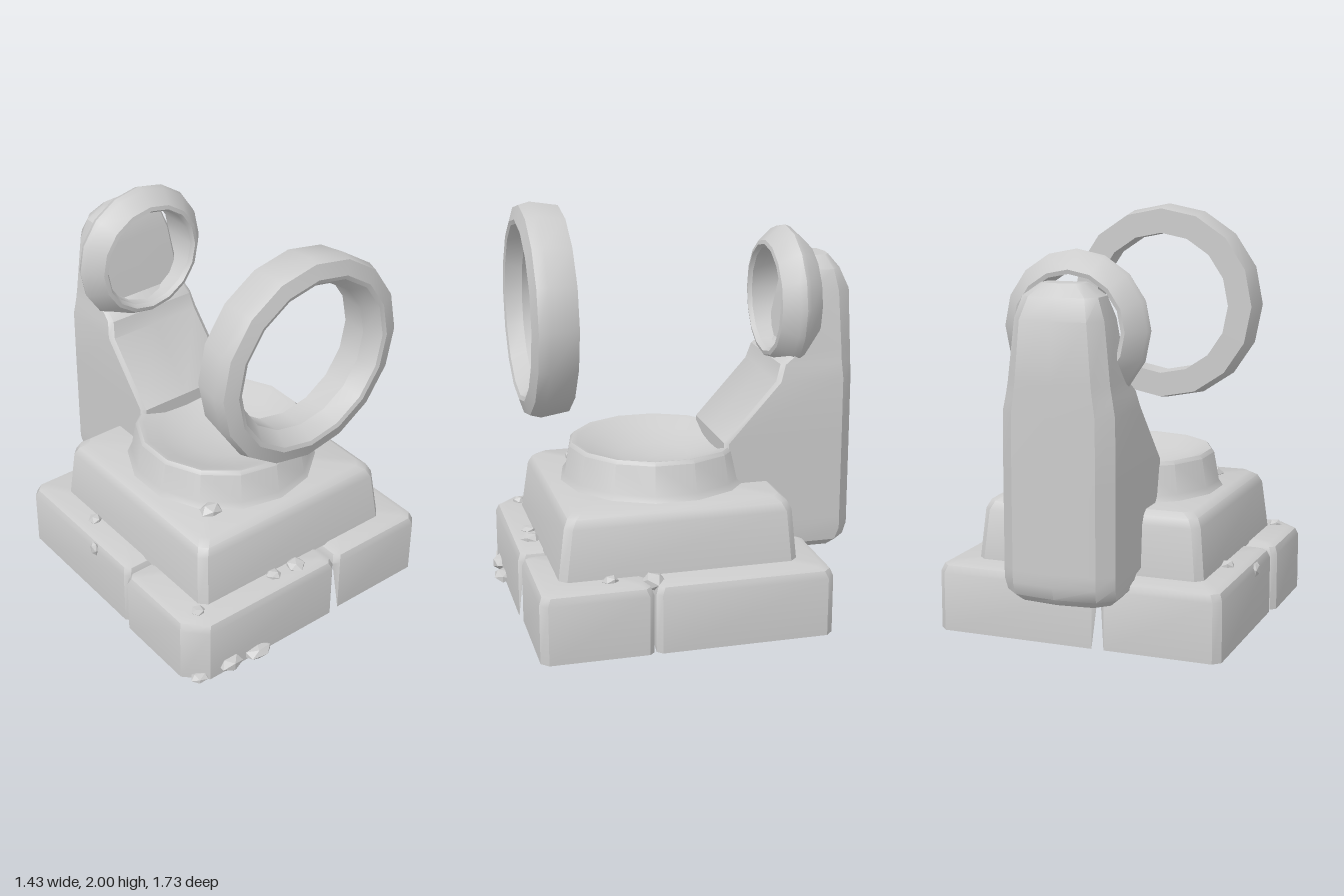
import * as THREE from 'three';
import { toCreasedNormals } from 'three/addons/utils/BufferGeometryUtils.js';

const stone = new THREE.MeshStandardMaterial({ color: 0xcccccc });
const openStone = new THREE.MeshStandardMaterial({ color: 0xcccccc, side: THREE.DoubleSide });

function part(name, geometry, material = stone, crease = 0.6) {
  const mesh = new THREE.Mesh(toCreasedNormals(geometry, crease), material);
  mesh.name = name;
  return mesh;
}

// Skin stacked rings of [x, y, z] points, listed from bottom to top
function loft(rings, bottomCap = true) {
  const n = rings[0].length;
  const points = rings.flat();
  const index = [];
  for (let r = 0; r < rings.length - 1; r++) {
    for (let i = 0; i < n; i++) {
      const a = r * n + i, b = r * n + (i + 1) % n;
      index.push(a, b, b + n, a, b + n, a + n);
    }
  }
  const cap = (start, flip) => {
    const c = points.length;
    const ring = points.slice(start, start + n);
    points.push([0, 1, 2].map((k) => ring.reduce((s, p) => s + p[k], 0) / n));
    for (let i = 0; i < n; i++) {
      const a = start + i, b = start + (i + 1) % n;
      index.push(...(flip ? [b, a, c] : [a, b, c]));
    }
  };
  cap((rings.length - 1) * n, false);
  if (bottomCap) cap(0, true);
  const g = new THREE.BufferGeometry();
  g.setAttribute('position', new THREE.Float32BufferAttribute(points.flat(), 3));
  g.setIndex(index);
  return g;
}

// Rectangle with clipped corners; c = clips at (+x+z, +x-z, -x-z, -x+z)
function rectRing(x0, x1, z0, z1, y, c, inset = 0) {
  x0 += inset; x1 -= inset; z0 += inset; z1 -= inset;
  return [
    [x1 - c[0], y, z1], [x1, y, z1 - c[0]], [x1, y, z0 + c[1]], [x1 - c[1], y, z0],
    [x0 + c[2], y, z0], [x0, y, z0 + c[2]], [x0, y, z1 - c[3]], [x0 + c[3], y, z1],
  ];
}

// Base block, hollow beneath; walls along the inner seams stop short of the ground
function baseBlock(name, x0, x1, z0, z1, c) {
  const foot = rectRing(x0, x1, z0, z1, 0, c);
  for (const p of foot) {
    if (Math.abs(p[0]) < 0.59 && p[2] < 0.79 && p[2] > -0.59) p[1] = 0.27;
  }
  return part(name, loft([
    foot,
    rectRing(x0, x1, z0, z1, 0.285, c),
    rectRing(x0, x1, z0, z1, 0.32, c, 0.014),
    rectRing(x0, x1, z0, z1, 0.333, c, 0.045),
  ], false), openStone);
}

// Ring turned around the z axis from [radius, z] points
function hoop(name, profile, sides, y) {
  const pts = [...profile, profile[0]].map(([r, z]) => new THREE.Vector2(r, z));
  const g = new THREE.LatheGeometry(pts, sides).rotateX(Math.PI / 2);
  const mesh = part(name, g);
  mesh.position.y = y;
  return mesh;
}

export function createModel() {
  const model = new THREE.Group();
  model.name = 'stonePedestal';

  // Four blocks of the base
  const s = 0.025;
  model.add(
    baseBlock('baseFrontRight', -0.72, 0.155, 0.265, 0.81, [s, s, s, 0.1]),
    baseBlock('baseFrontLeft', 0.165, 0.715, 0.27, 0.8, [0.035, s, s, s]),
    baseBlock('baseBackRight', -0.7, -0.115, -0.6, 0.255, [s, s, 0.035, s]),
    baseBlock('baseBackLeft', -0.105, 0.715, -0.6, 0.26, [s, 0.035, s, s]),
  );

  // Sloped step above the base
  const k = [0.035, 0.035, 0.035, 0.035];
  model.add(part('step', loft([
    rectRing(-0.57, 0.57, -0.465, 0.685, 0.325, k),
    rectRing(-0.545, 0.545, -0.445, 0.65, 0.575, k),
    rectRing(-0.525, 0.525, -0.425, 0.63, 0.615, k),
    rectRing(-0.49, 0.49, -0.395, 0.595, 0.638, k),
  ])));

  // Round plinth with a dished top
  const bowl = [
    [0.475, 0.63], [0.45, 0.665], [0.425, 0.805], [0.41, 0.822], [0.385, 0.815],
    [0.31, 0.775], [0.17, 0.735], [0, 0.72],
  ].map(([r, y]) => new THREE.Vector2(r, y));
  const plinth = part('dishedPlinth', new THREE.LatheGeometry(bowl, 14));
  plinth.position.z = 0.1;
  model.add(plinth);

  // Upright support: [y, half width, front z, side back z, rear z]
  const levels = [
    [0.265, 0.23, -0.57, -0.73, -0.81],
    [0.30, 0.265, -0.55, -0.76, -0.85],
    [0.36, 0.272, -0.5, -0.78, -0.866],
    [0.42, 0.272, -0.19, -0.78, -0.866],
    [0.84, 0.272, -0.185, -0.78, -0.866],
    [1.13, 0.27, -0.445, -0.78, -0.866],
    [1.21, 0.255, -0.47, -0.775, -0.866],
    [1.27, 0.245, -0.55, -0.775, -0.866],
    [1.55, 0.215, -0.6, -0.765, -0.86],
    [1.65, 0.18, -0.62, -0.75, -0.81],
    [1.708, 0.1, -0.65, -0.73, -0.765],
  ];
  model.add(part('support', loft(levels.map(([y, w, zf, zs, zb]) => [
    [0, y, zf], [w * 0.92, y, zf], [w, y, zf - 0.02], [w, y, zs],
    [w * 0.74, y, zs + (zb - zs) * 0.75], [0, y, zb],
    [-w * 0.74, y, zs + (zb - zs) * 0.75], [-w, y, zs],
    [-w, y, zf - 0.02], [-w * 0.92, y, zf],
  ]))));

  // Collar on the support and the large floating ring in front
  model.add(
    hoop('collar', [
      [0.25, -0.66], [0.27, -0.665], [0.345, -0.585], [0.356, -0.56],
      [0.345, -0.53], [0.285, -0.46], [0.265, -0.455], [0.25, -0.475],
    ], 16, 1.49),
    hoop('floatingRing', [
      [0.365, 0.555], [0.49, 0.555], [0.511, 0.69], [0.497, 0.74],
      [0.43, 0.762], [0.41, 0.755], [0.36, 0.68],
    ], 16, 1.49),
  );

  // Loose chips: x, y, z, then half sizes
  const chips = [
    [-0.5, 0.02, 0.81, 0.07, 0.04, 0.045], [-0.34, 0.015, 0.82, 0.08, 0.03, 0.05],
    [-0.66, 0.01, 0.78, 0.05, 0.02, 0.04], [0.62, 0.32, 0.255, 0.055, 0.045, 0.06],
    [0.6, 0.335, 0.455, 0.03, 0.03, 0.04], [-0.6, 0.335, -0.16, 0.035, 0.03, 0.035],
    [-0.7, 0.29, -0.02, 0.02, 0.04, 0.03], [-0.33, 0.64, 0.44, 0.06, 0.04, 0.05],
    [-0.03, 0.335, 0.72, 0.05, 0.03, 0.05], [-0.16, 0.335, 0.71, 0.04, 0.022, 0.04],
    [-0.6, 0.335, 0.69, 0.035, 0.025, 0.035],
  ];
  chips.forEach(([x, y, z, a, b, c], i) => {
    const g = new THREE.IcosahedronGeometry(1, 0).rotateY(i * 1.3).scale(a, b, c);
    const chip = part('chip' + (i + 1), g, stone, 0.1);
    chip.position.set(x, Math.max(y, b * 0.95), z);
    model.add(chip);
  });

  return model;
}
